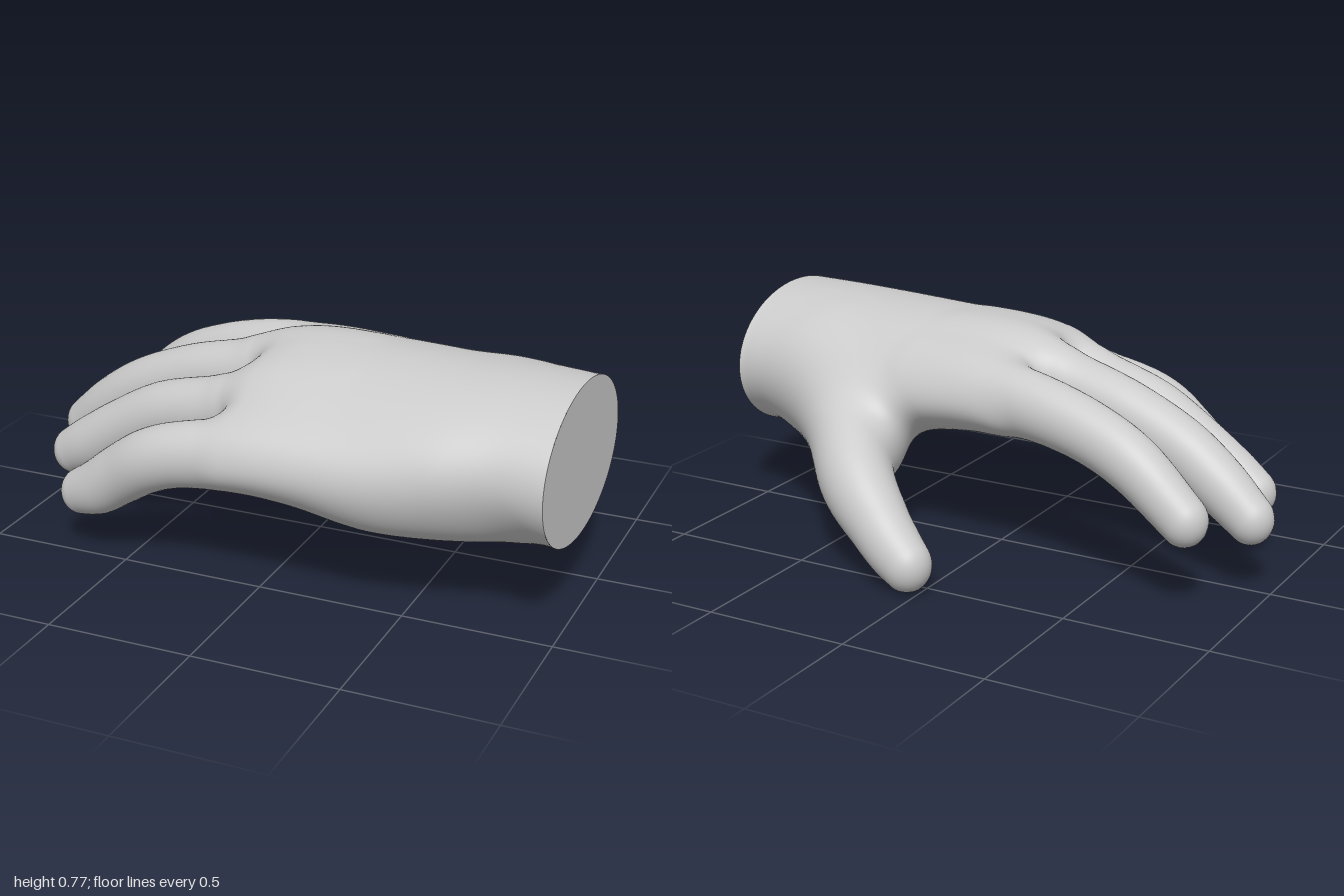
import * as THREE from 'three';

// Limb skeletons, root to tip: [x, y, z, radius]
const LIMBS = {
  thumb: [[.7, .46, .02, .18], [.48, .385, -.22, .146], [.33, .285, -.4, .126], [.19, .187, -.488, .104],
    [.11, .13, -.525, .094], [.046, .092, -.55, .083]],
  thumbBase: [[.65, .43, .05, .175], [.5, .375, -.09, .14], [.4, .35, -.19, .108]],
  indexFinger: [[.25, .55, -.07, .12], [-.05, .57, -.135, .112], [-.25, .563, -.175, .101], [-.45, .518, -.205, .094],
    [-.62, .443, -.233, .09], [-.8, .305, -.26, .078]],
  middleFinger: [[.2, .59, .08, .13], [-.1, .607, .08, .112], [-.25, .57, .077, .104], [-.45, .52, .055, .099],
    [-.65, .44, .033, .095], [-.8, .345, .012, .09], [-.924, .25, -.008, .077]],
  ringFinger: [[.2, .56, .29, .13], [-.1, .555, .315, .108], [-.25, .518, .305, .101], [-.45, .463, .28, .098],
    [-.62, .375, .262, .092], [-.75, .295, .25, .087], [-.836, .246, .24, .075]],
  littleFinger: [[.8, .47, .33, .18], [.65, .43, .39, .15], [.4, .425, .46, .14], [.15, .455, .49, .12], [-.05, .462, .507, .11],
    [-.25, .438, .518, .1], [-.38, .395, .513, .098], [-.5, .318, .49, .094], [-.6, .246, .475, .087], [-.677, .21, .464, .073]],
};

// Limbs are a little deeper than wide: distances are taken with y scaled by this
const DEPTH = .9;

// Palm cross-sections along x: [x, centreY, centreZ, halfHeight, halfWidth, arch, slope]
const SECTIONS = [
  [-.15, .575, .185, .14, .42, .085, .045], [0, .592, .185, .165, .43, .085, .045], [.3, .55, .19, .216, .425, .05, .03],
  [.6, .514, .2, .256, .4, .01, .01], [.8, .52, .2, .255, .37, 0, 0], [.98, .512, .22, .262, .36, 0, 0],
];
const palmSection = new THREE.CubicInterpolant(SECTIONS.map(s => s[0]), SECTIONS.flatMap(s => s.slice(1)), 6, []);

// Flat, slightly slanted cut at the wrist
const wristX = z => .985 - .042 * (z - .22);

// Smooth minimum: joins two distance fields with a fillet of size k
const blend = (a, b, k) => {
  const h = Math.max(k - Math.abs(a - b), 0) / k;
  return Math.min(a, b) - h * h * k / 4;
};

// Turn a skeleton into a finely sampled, smooth chain of tapered segments
function makeChain(points) {
  const spline = new THREE.CubicInterpolant(points.map((_, i) => i), points.flat(), 4, []);
  return Array.from({ length: (points.length - 1) * 8 + 1 }, (_, i) => {
    const [x, y, z, r] = spline.evaluate(i / 8);
    return [x, y * DEPTH, z, r];
  });
}

// Signed distance to a chain of round cones
function chainDistance(chain, x, y, z) {
  let best = Infinity;
  for (let i = 1; i < chain.length; i++) {
    const a = chain[i - 1], b = chain[i];
    const dx = b[0] - a[0], dy = b[1] - a[1], dz = b[2] - a[2], dr = b[3] - a[3];
    const px = x - a[0], py = y * DEPTH - a[1], pz = z - a[2];
    const len2 = dx * dx + dy * dy + dz * dz, along = (px * dx + py * dy + pz * dz) / len2;
    const off = Math.sqrt(Math.max(0, px * px + py * py + pz * pz - along * along * len2));
    const taper = dr / Math.sqrt(len2 * Math.max(len2 - dr * dr, 1e-9));
    const t = Math.min(1, Math.max(0, along + off * taper));
    const rest = (along - t) * (along - t) * len2;
    best = Math.min(best, Math.sqrt(off * off + rest) - a[3] - t * dr);
  }
  return best;
}

// Signed distance to the palm: arched elliptical sections, rounded off at the knuckles
function palmDistance(x, y, z) {
  const [cy, cz, hy, hz, arch, slope] = palmSection.evaluate(x);
  const v = (z - cz) / hz, t = Math.max(-1.2, Math.min(1.2, v));
  const u = (y - cy + arch * t * t + slope * t) / hy;
  const k0 = Math.hypot(u, v), k1 = Math.hypot(u / hy, v / hz);
  const side = k1 < 1e-6 ? -hy : k0 * (k0 - 1) / k1;
  return -blend(-side, x + .14, .08);
}

const chains = Object.entries(LIMBS).map(([name, points]) => [name, makeChain(points)]);
const [thumb, thumbBase, ...fingers] = chains.map(c => c[1]);

// Whole hand: fingers stay apart from each other but flow into the palm
function handDistance(x, y, z) {
  let finger = Infinity;
  for (const f of fingers) finger = Math.min(finger, chainDistance(f, x, y, z));
  const thumbSide = blend(chainDistance(thumb, x, y, z), chainDistance(thumbBase, x, y, z), .1);
  return blend(blend(palmDistance(x, y, z), finger, .06), thumbSide, .11);
}

function handNormal([x, y, z]) {
  const e = .012, f = handDistance;
  return new THREE.Vector3(f(x + e, y, z) - f(x - e, y, z), f(x, y + e, z) - f(x, y - e, z),
    f(x, y, z + e) - f(x, y, z - e)).normalize();
}

// The part a surface point belongs to
function partAt(p) {
  let best = palmDistance(...p) - .02, part = 'palm';
  for (const [name, chain] of chains) {
    const d = chainDistance(chain, ...p);
    if (d < best) [best, part] = [d, name];
  }
  return part;
}

// Skin the blended field with a grid of quads, sorted by part
function buildSkin() {
  const cell = .0145, min = [-1.04, -.04, -.68], max = [1.05, .83, .68];
  const n = min.map((m, i) => Math.ceil((max[i] - m) / cell) + 1);
  const stride = [1, n[0], n[0] * n[1]];
  const values = new Float32Array(n[0] * n[1] * n[2]);
  const vertexOf = new Int32Array(values.length).fill(-1);
  const eachPoint = (start, end, fn) => {
    for (let k = start; k < n[2] - end; k++)
      for (let j = start; j < n[1] - end; j++)
        for (let i = start; i < n[0] - end; i++) fn([i, j, k], i + j * stride[1] + k * stride[2]);
  };
  eachPoint(0, 0, (g, id) => { values[id] = handDistance(...g.map((c, a) => min[a] + c * cell)); });

  // One vertex in each cell the surface crosses
  const positions = [], normals = [], cut = [];
  eachPoint(0, 1, (g, id) => {
    const sum = [0, 0, 0];
    let count = 0;
    for (let corner = 0; corner < 8; corner++) {
      const o = [corner & 1, corner >> 1 & 1, corner >> 2];
      const from = id + o[0] + o[1] * stride[1] + o[2] * stride[2];
      for (let a = 0; a < 3; a++) {
        if (o[a]) continue;
        const v0 = values[from], v1 = values[from + stride[a]];
        if (v0 < 0 === v1 < 0) continue;
        for (let b = 0; b < 3; b++) sum[b] += o[b] + (a === b ? v0 / (v0 - v1) : 0);
        count++;
      }
    }
    if (!count) return;
    const p = g.map((c, a) => min[a] + (c + sum[a] / count) * cell);
    const normal = handNormal(p), d = handDistance(...p);
    normal.toArray().forEach((c, a) => { p[a] -= c * d; });
    const beyond = p[0] > wristX(p[2]);
    if (beyond) p[0] = wristX(p[2]);
    vertexOf[id] = cut.length;
    cut.push(beyond);
    positions.push(...p);
    normals.push(...normal.toArray());
  });

  // One quad round each grid edge the surface crosses
  const faces = {};
  eachPoint(1, 1, (g, id) => {
    for (let a = 0; a < 3; a++) {
      const inside = values[id] < 0;
      if (inside === values[id + stride[a]] < 0) continue;
      const b = stride[(a + 1) % 3], c = stride[(a + 2) % 3];
      const q = [id - b - c, id - c, id, id - b].map(m => vertexOf[m]);
      if (q.some(v => v < 0) || q.every(v => cut[v])) continue;
      if (!inside) q.reverse();
      const part = partAt(positions.slice(q[0] * 3, q[0] * 3 + 3));
      (faces[part] ??= []).push(q[0], q[1], q[2], q[0], q[2], q[3]);
    }
  });
  return { positions, normals, faces };
}

export function createModel() {
  const hand = new THREE.Group();
  hand.name = 'hand';
  const material = new THREE.MeshStandardMaterial({ color: 0xcccccc });
  const add = (name, geometry) => {
    const mesh = new THREE.Mesh(geometry, material);
    mesh.name = name;
    hand.add(mesh);
  };

  // Palm, thumb and fingers share one set of smooth vertices
  const { positions, normals, faces } = buildSkin();
  const position = new THREE.Float32BufferAttribute(positions, 3);
  const normal = new THREE.Float32BufferAttribute(normals, 3);
  for (const [name, index] of Object.entries(faces)) {
    const geometry = new THREE.BufferGeometry();
    geometry.setAttribute('position', position).setAttribute('normal', normal).setIndex(index);
    add(name, geometry);
  }

  // Flat cap closing the wrist
  const cap = new THREE.CircleGeometry(1, 96), rim = cap.attributes.position;
  const [, cy, cz, hy, hz] = SECTIONS.at(-1);
  for (let i = 0; i < rim.count; i++) {
    const z = cz - hz * rim.getX(i);
    rim.setXYZ(i, wristX(z), cy + hy * rim.getY(i), z);
  }
  cap.computeVertexNormals();
  add('wristCap', cap);
  return hand;
}
